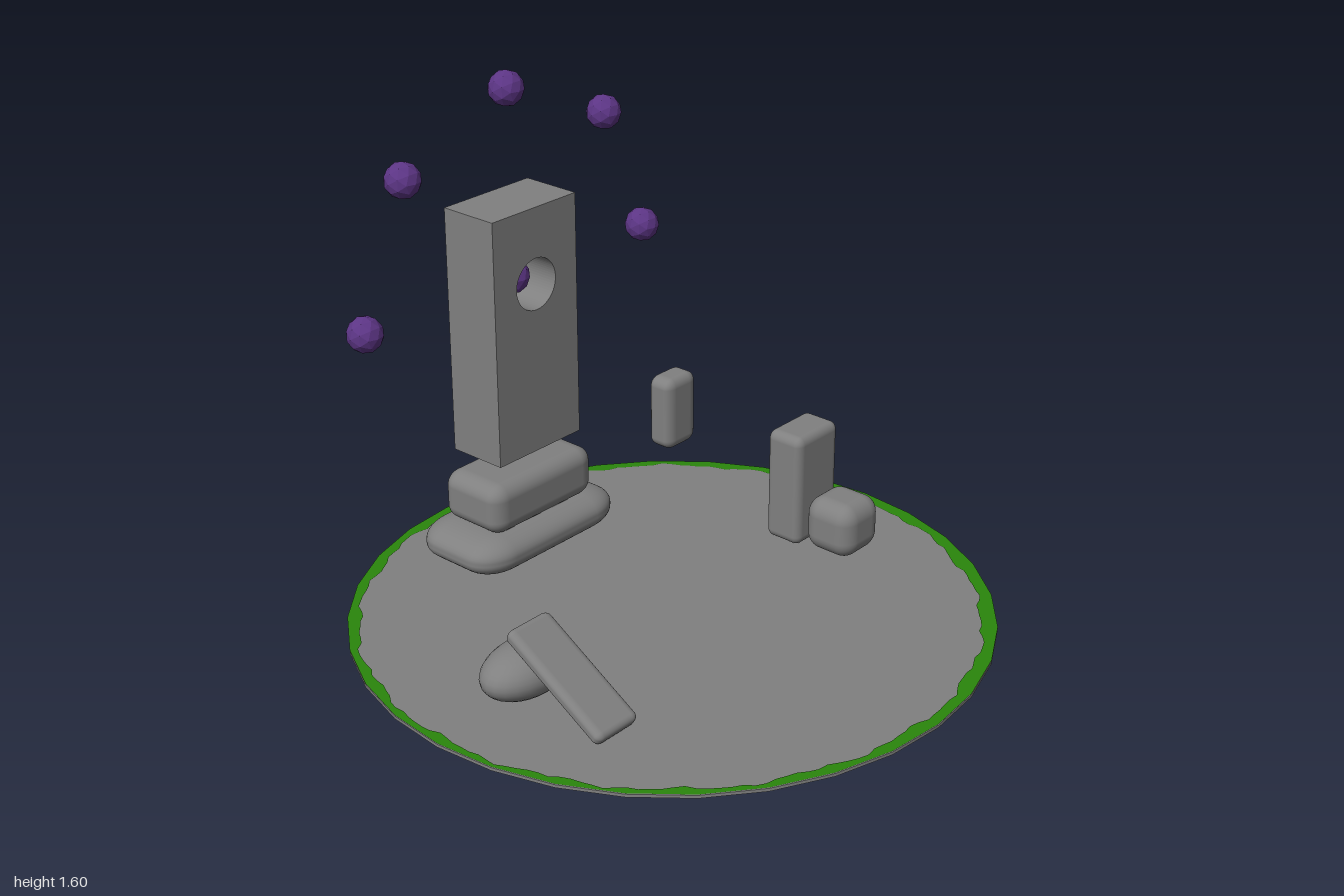
import * as THREE from 'three';
import { RoundedBoxGeometry } from 'three/addons/geometries/RoundedBoxGeometry.js';

const stone = new THREE.MeshStandardMaterial({ color: 0x808080 });
stone.name = 'grey stone';
const moss = new THREE.MeshStandardMaterial({ color: 0x2a860c });
moss.name = 'green grass';
const crystal = new THREE.MeshStandardMaterial({ color: 0x5c3585, flatShading: true });
crystal.name = 'purple crystal';

export function createModel() {
  const model = new THREE.Group();
  model.name = 'stoneShrine';

  function add(name, geometry, material, x, y, z) {
    const mesh = new THREE.Mesh(geometry, material);
    mesh.name = name;
    mesh.position.set(x, y, z);
    model.add(mesh);
    return mesh;
  }

  // Rounded block with a separate corner radius along each axis
  function block(name, [w, h, d], [rx, ry, rz], x, y, z) {
    const g = new RoundedBoxGeometry(w / rx, h / ry, d / rz, 5, 1);
    g.scale(rx, ry, rz);
    return add(name, g, stone, x, y, z);
  }

  // Ground disc
  add('ground', new THREE.CylinderGeometry(1, 1, 0.01, 32), stone, 0, 0.005, 0);

  // Ragged grass border lying on the disc
  const border = new THREE.Shape();
  const inner = new THREE.Path();
  const steps = 32;
  for (let i = 0; i < steps; i++) {
    const a = (i / steps) * Math.PI * 2;
    border[i ? 'lineTo' : 'moveTo'](Math.cos(a), Math.sin(a));
  }
  const ragged = 192;
  for (let i = 0; i < ragged; i++) {
    const a = (i / ragged) * Math.PI * 2;
    const broad = 0.022 * Math.max(0, Math.cos(a - 0.85)) + 0.012 * Math.max(0, Math.cos(a - 3.3));
    const noise = 0.007 * Math.sin(17 * a) + 0.005 * Math.sin(41 * a + 1) + 0.003 * Math.sin(73 * a + 2);
    const r = 0.973 - broad + noise;
    inner[i ? 'lineTo' : 'moveTo'](r * Math.cos(a), r * Math.sin(a));
  }
  border.holes.push(inner);
  add('grassBorder', new THREE.ShapeGeometry(border), moss, 0, 0.013, 0).rotation.x = -Math.PI / 2;

  // Stepped pedestal
  block('pedestalBase', [0.35, 0.13, 0.63], [0.1, 0.06, 0.13], -0.66, 0.08, 0);
  block('pedestalTop', [0.25, 0.17, 0.455], [0.05, 0.05, 0.06], -0.657, 0.225, 0);

  // Floating monolith with a round hole along x
  const slab = new THREE.Shape();
  slab.moveTo(-0.18, 0.375);
  slab.lineTo(0.18, 0.375);
  slab.lineTo(0.18, 1.19);
  slab.lineTo(-0.18, 1.19);
  const hole = new THREE.Path();
  hole.absarc(0, 0.94, 0.085, 0, Math.PI * 2, true);
  slab.holes.push(hole);
  const slabGeo = new THREE.ExtrudeGeometry(slab, { depth: 0.205, bevelEnabled: false, curveSegments: 32 });
  add('monolith', slabGeo, stone, -0.76, 0, 0).rotation.y = Math.PI / 2;

  // Orbs: one in the hole and an arch of five around the monolith
  const orbGeo = new THREE.IcosahedronGeometry(0.057, 1);
  const orbs = [[0.94, 0], [0.94, 0.607], [1.368, 0.43], [1.545, 0], [1.368, -0.428], [0.94, -0.605]];
  orbs.forEach(([y, z], i) => add('orb' + (i + 1), orbGeo, crystal, -0.66, y, z));

  // Floating stone over the middle
  block('floatingStone', [0.085, 0.226, 0.13], [0.025, 0.03, 0.035], 0, 0.693, 0);

  // Standing stone and the smaller one beside it
  block('standingStone', [0.134, 0.385, 0.208], [0.025, 0.03, 0.03], -0.002, 0.207, -0.645);
  block('smallStone', [0.185, 0.185, 0.19], [0.055, 0.06, 0.06], 0.166, 0.108, -0.645);

  // Boulder with a fallen plank of stone leaning on it
  const boulder = add('boulder', new THREE.SphereGeometry(1, 24, 16), stone, 0, 0.095, 0.638);
  boulder.scale.set(0.106, 0.082, 0.166);
  block('leaningSlab', [0.415, 0.044, 0.168], [0.02, 0.018, 0.025], 0.175, 0.129, 0.637).rotation.z = -0.54;

  return model;
}
